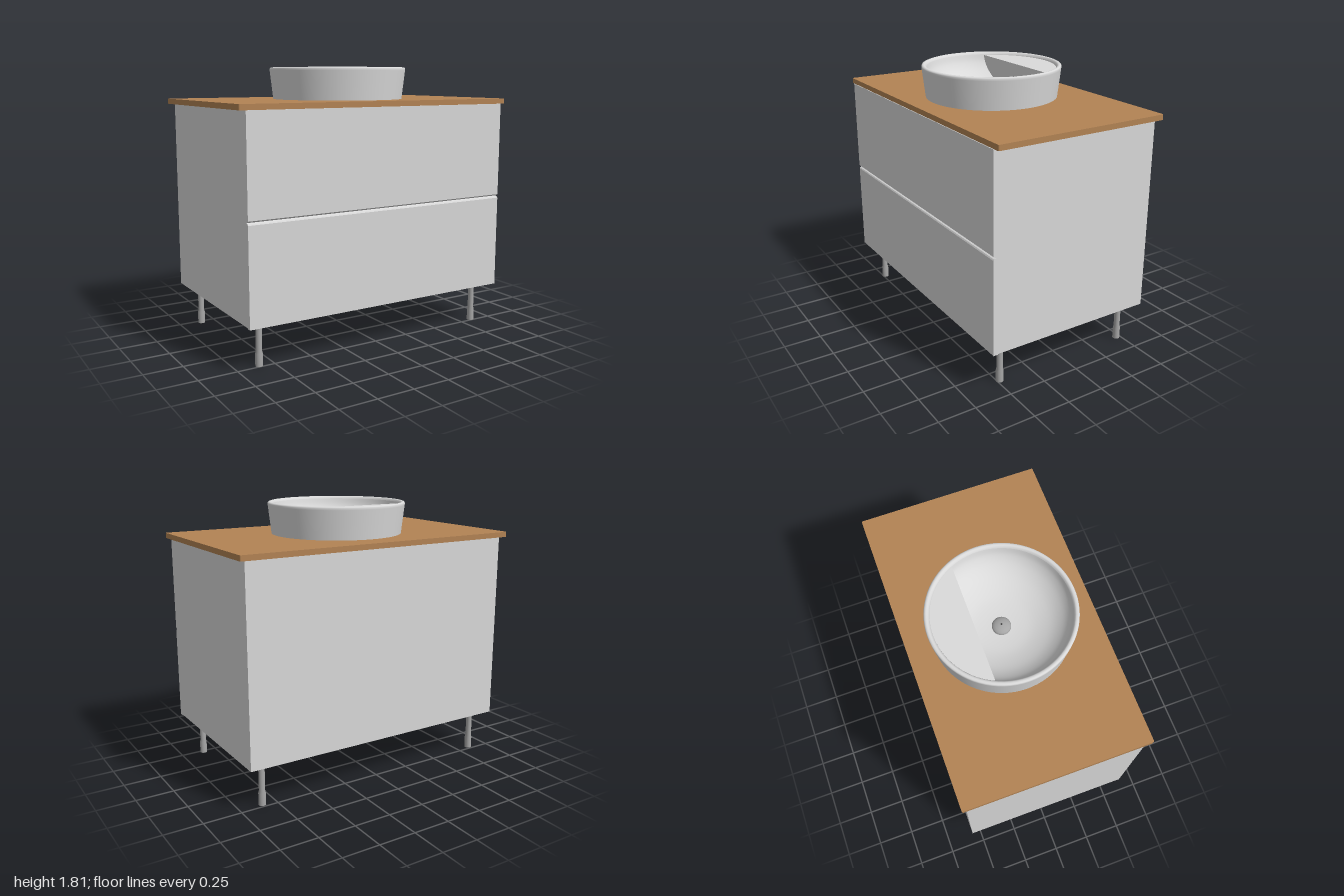
import * as THREE from 'three';

export function createModel() {
  const model = new THREE.Group();
  model.name = 'washbasinCabinet';

  const mat = (name, color, side = THREE.FrontSide) => {
    const m = new THREE.MeshStandardMaterial({ color, side });
    m.name = name;
    return m;
  };
  const white = mat('white', 0xd8d8d8);
  const ceramic = mat('ceramic', 0xdadada, THREE.DoubleSide);
  const wood = mat('wood', 0xb28354);
  const metal = mat('metal', 0xa6a6a6);
  const dark = mat('dark', 0x4a4a4a);

  const add = (name, geometry, material, x = 0, y = 0, z = 0, parent = model) => {
    const mesh = new THREE.Mesh(geometry, material);
    mesh.name = name;
    mesh.position.set(x, y, z);
    parent.add(mesh);
    return mesh;
  };
  const V = (x, y) => new THREE.Vector2(x, y);

  // Cabinet carcass
  add('carcass', new THREE.BoxGeometry(1.92, 1.275, 1.135), white, 0, 0.9225, 0.0025);

  // Drawer fronts: (z, y) profiles swept across the width, bevelled to form the finger groove
  const drawer = (name, points) => {
    const g = new THREE.ExtrudeGeometry(new THREE.Shape(points), { depth: 1.92, bevelEnabled: false });
    g.translate(0, 0, -0.96).rotateY(-Math.PI / 2);
    add(name, g, white);
  };
  drawer('lowerDrawer', [V(0.57, 0.28), V(0.6, 0.28), V(0.6, 0.903), V(0.595, 0.911), V(0.582, 0.917), V(0.57, 0.917)]);
  drawer('upperDrawer', [V(0.57, 0.917), V(0.582, 0.917), V(0.6, 0.928), V(0.6, 1.56), V(0.57, 1.56)]);

  // Worktop with softened corners and a cut-out under the basin
  const W = 1, D = 0.595, R = 0.01, basinZ = 0.01;
  const top = new THREE.Shape();
  top.moveTo(-W + R, -D);
  top.lineTo(W - R, -D).quadraticCurveTo(W, -D, W, -D + R);
  top.lineTo(W, D - R).quadraticCurveTo(W, D, W - R, D);
  top.lineTo(-W + R, D).quadraticCurveTo(-W, D, -W, D - R);
  top.lineTo(-W, -D + R).quadraticCurveTo(-W, -D, -W + R, -D);
  const cutout = new THREE.Path();
  cutout.absarc(0, -basinZ, 0.3, 0, Math.PI * 2, true);
  top.holes.push(cutout);
  const topGeo = new THREE.ExtrudeGeometry(top, { depth: 0.035, bevelEnabled: false, curveSegments: 24 });
  add('worktop', topGeo.rotateX(-Math.PI / 2), wood, 0, 1.56, 0);

  // Round basin: tapered wall, rounded rim, curved bowl
  const basin = new THREE.Group();
  basin.name = 'basin';
  basin.position.z = basinZ;
  model.add(basin);
  const wall = [V(0.44, 1.594), V(0.462, 1.785)];
  const rim = [V(0.462, 1.785), V(0.463, 1.796), V(0.459, 1.803), V(0.451, 1.806), V(0.442, 1.805), V(0.435, 1.8), V(0.43, 1.79)];
  const bowl = new THREE.SplineCurve([
    V(0.43, 1.79), V(0.412, 1.74), V(0.37, 1.686), V(0.3, 1.636), V(0.2, 1.598), V(0.1, 1.583), V(0, 1.58),
  ]).getPoints(30);
  bowl[bowl.length - 1].x = 0;
  for (const [name, pts] of [['basinWall', wall], ['basinRim', rim], ['basinBowl', bowl]]) {
    add(name, new THREE.LatheGeometry(pts, 80), ceramic, 0, 0, 0, basin);
  }

  // Flat ledge filling the rear segment of the bowl
  const a = Math.asin(0.18 / 0.428);
  const ledge = new THREE.Shape();
  ledge.absarc(0, 0, 0.428, a, Math.PI - a, false);
  ledge.closePath();
  const ledgeGeo = new THREE.ExtrudeGeometry(ledge, { depth: 0.205, bevelEnabled: false, curveSegments: 48 });
  add('rearLedge', ledgeGeo.rotateX(-Math.PI / 2), ceramic, 0, 1.58, 0, basin);

  // Overflow hole on the ledge face
  add('overflowRing', new THREE.TorusGeometry(0.012, 0.002, 8, 24), metal, 0, 1.69, -0.18, basin);
  add('overflowHole', new THREE.CircleGeometry(0.011, 24), dark, 0, 1.69, -0.179, basin);

  // Domed drain cover with a tiny centre dot
  const dome = [V(0.06, 1.575), V(0.06, 1.588), V(0.054, 1.597), V(0.04, 1.606), V(0.02, 1.612), V(0, 1.614)];
  add('drainCover', new THREE.LatheGeometry(dome, 32), metal, 0, 0, 0, basin);
  add('drainDot', new THREE.CylinderGeometry(0.006, 0.006, 0.004, 12), dark, 0, 1.6135, 0, basin);

  // Four legs, each a tube with a thicker adjustable foot
  const legProfile = [V(0, 0), V(0.024, 0), V(0.024, 0.002), V(0.024, 0.08), V(0.02, 0.095), V(0.02, 0.29)];
  const legGeo = new THREE.LatheGeometry(legProfile, 24);
  for (const x of [-0.85, 0.845]) {
    for (const z of [0.483, -0.47]) {
      add((z > 0 ? 'front' : 'rear') + (x > 0 ? 'LeftLeg' : 'RightLeg'), legGeo, metal, x, 0, z);
    }
  }
  return model;
}
